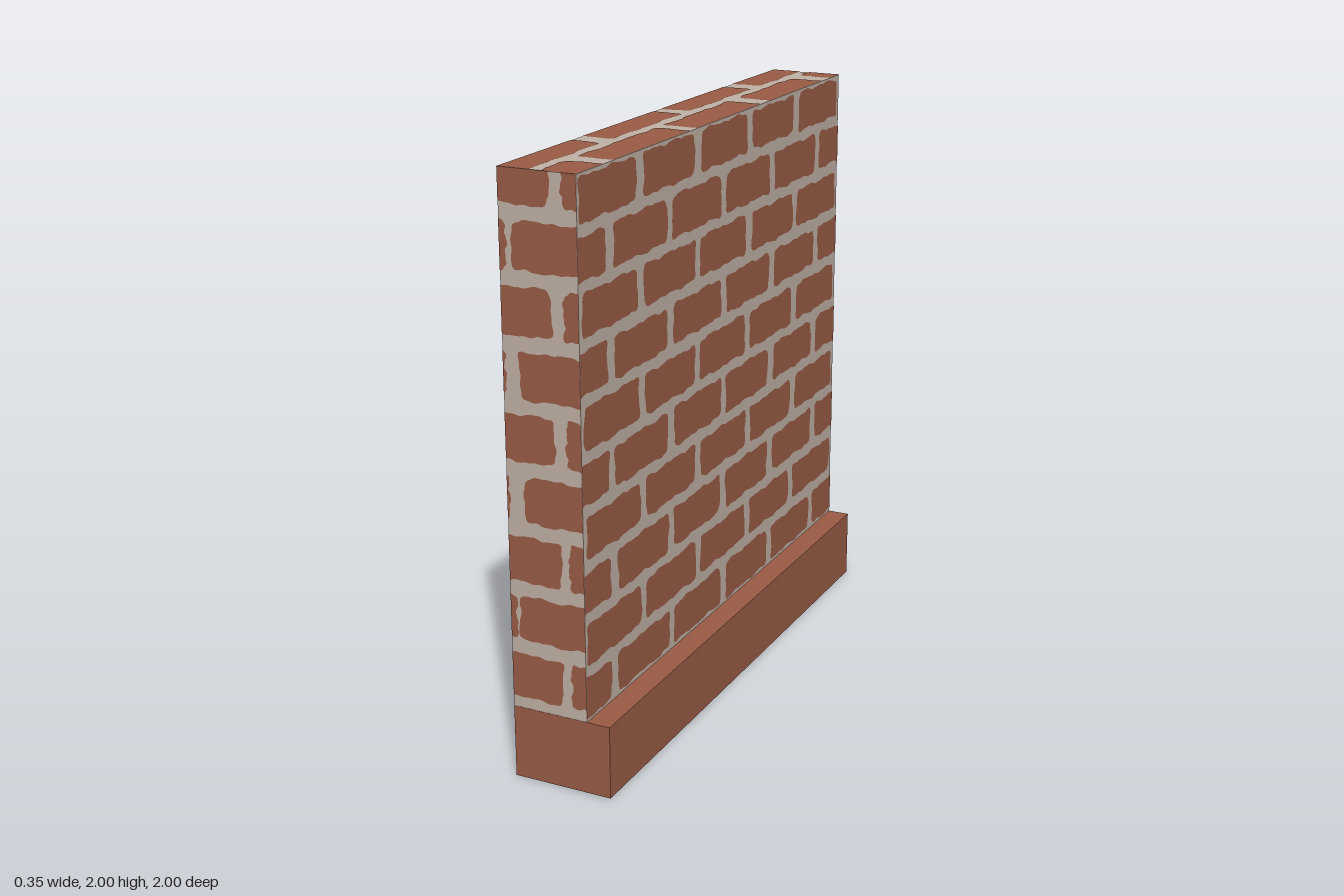
import * as THREE from 'three';
import { mergeGeometries } from 'three/addons/utils/BufferGeometryUtils.js';

const X0 = -0.173, X1 = 0.092, BASE_X = 0.173; // wall back, wall face, plinth face
const BASE_H = 0.25, TOP = 2, HALF = 0.999, LIFT = 0.0012;

// Small seeded random numbers, 0..1
function seeded(seed) {
  return () => {
    seed = (seed * 16807) % 2147483647;
    return seed / 2147483647;
  };
}

// One worn brick: a rounded rectangle with a wavy outline, clipped to its face
function brickShape([u0, u1, v0, v1], [a0, a1, b0, b1], rand) {
  const r = 0.02;
  const phases = [rand() * 6.28, rand() * 6.28, rand() * 6.28];
  const outline = new THREE.Path();
  outline.moveTo(u0 + r, v0);
  outline.lineTo(u1 - r, v0);
  outline.quadraticCurveTo(u1, v0, u1, v0 + r);
  outline.lineTo(u1, v1 - r);
  outline.quadraticCurveTo(u1, v1, u1 - r, v1);
  outline.lineTo(u0 + r, v1);
  outline.quadraticCurveTo(u0, v1, u0, v1 - r);
  outline.lineTo(u0, v0 + r);
  outline.quadraticCurveTo(u0, v0, u0 + r, v0);
  const cu = (u0 + u1) / 2, cv = (v0 + v1) / 2;
  const hu = (u1 - u0) / 2, hv = (v1 - v0) / 2;
  const n = 72;
  const pts = outline.getSpacedPoints(n).slice(0, n).map((p, i) => {
    const t = (i / n) * Math.PI * 2;
    const w = 0.003 * (Math.sin(5 * t + phases[0]) + Math.sin(9 * t + phases[1]) * 0.8
      + Math.sin(17 * t + phases[2]) * 0.5);
    const u = cu + (p.x - cu) * (1 + w / hu), v = cv + (p.y - cv) * (1 + w / hv);
    return new THREE.Vector2(THREE.MathUtils.clamp(u, a0, a1), THREE.MathUtils.clamp(v, b0, b1));
  });
  return new THREE.Shape(pts.filter((p, i) => p.distanceTo(pts[(i + 1) % n]) > 1e-5));
}

// All bricks of one wall face, as a flat layer
function brickLayer(name, bricks, rect, seed, material) {
  const rand = seeded(seed);
  const geos = bricks.map((b) => new THREE.ShapeGeometry(brickShape(b, rect, rand)));
  const mesh = new THREE.Mesh(mergeGeometries(geos), material);
  mesh.name = name;
  return mesh;
}

// Running bond of the broad face
function faceBricks() {
  const rand = seeded(77);
  const bricks = [];
  for (let row = 0; row < 10; row++) {
    const v0 = 0.263 + row * 0.1765;
    const odd = row % 2; // odd rows hold five whole bricks
    for (let i = 0; i < (odd ? 5 : 6); i++) {
      const j = () => (rand() - 0.5) * 0.012;
      const u0 = (odd ? -0.985 : -1.187) + i * 0.401;
      bricks.push([u0 + j(), u0 + 0.358 + j(), v0 + j() * 0.5, v0 + 0.137 + j() * 0.5]);
    }
  }
  return bricks;
}

// Narrow ends: wide brick alternately left and right
function endBricks() {
  const bricks = [];
  const splits = [0.01, -0.14, 0.015, -0.11, 0, -0.115, 0, -0.13, 0];
  splits.forEach((s, row) => {
    const v0 = 0.288 + row * 0.2005, v1 = row === 8 ? 2.05 : v0 + 0.152;
    if (row % 2) {
      bricks.push([-0.25, s < -0.12 ? -0.15 : -0.164, v0, v1], [s, 0.15, v0, v1]);
    } else {
      bricks.push([-0.25, s, v0, v1], [0.042, 0.15, v0, v1]);
    }
  });
  return bricks;
}

// Top: two courses side by side, listed by their z limits
function topBricks() {
  const back = [[-1.05, -0.63], [-0.555, -0.06], [0, 0.485], [0.56, 1.05]];
  const front = [[-1.05, -0.91], [-0.83, -0.365], [-0.29, 0.205], [0.26, 0.775], [0.84, 1.05]];
  return [
    ...back.map(([a, b]) => [-0.25, -0.066, -b, -a]),
    ...front.map(([a, b]) => [-0.03, 0.15, -b, -a]),
  ];
}

export function createModel() {
  const group = new THREE.Group();
  group.name = 'brickWall';
  const brick = new THREE.MeshStandardMaterial({ color: 0x9b5c45 });
  brick.name = 'brick red';
  const mortar = new THREE.MeshStandardMaterial({ color: 0xc1b2a6 });
  mortar.name = 'mortar grey';

  // Wall core, with a plain brick-coloured back
  const core = new THREE.Mesh(
    new THREE.BoxGeometry(X1 - X0, TOP - BASE_H - LIFT, HALF * 2),
    [mortar, brick, mortar, mortar, mortar, mortar],
  );
  core.name = 'wallCore';
  core.position.set((X0 + X1) / 2, (TOP - LIFT + BASE_H) / 2, 0);
  group.add(core);

  // Plinth
  const plinth = new THREE.Mesh(new THREE.BoxGeometry(BASE_X - X0, BASE_H, 2), brick);
  plinth.name = 'plinth';
  plinth.position.set((X0 + BASE_X) / 2, BASE_H / 2, 0);
  group.add(plinth);

  // Brick layers
  const face = brickLayer('faceBricks', faceBricks(), [-HALF, HALF, BASE_H, TOP], 11, brick);
  face.rotation.y = Math.PI / 2;
  face.position.x = X1 + LIFT;

  const endRect = [X0, X1, BASE_H, TOP];
  const frontEnd = brickLayer('frontEndBricks', endBricks(), endRect, 23, brick);
  frontEnd.position.z = HALF + LIFT;
  const backEnd = brickLayer('backEndBricks', endBricks(), endRect, 23, brick);
  backEnd.rotation.y = Math.PI;
  backEnd.position.set(X0 + X1, 0, -HALF - LIFT);

  const top = brickLayer('topBricks', topBricks(), [X0, X1, -HALF, HALF], 37, brick);
  top.rotation.x = -Math.PI / 2;
  top.position.y = TOP;

  group.add(face, frontEnd, backEnd, top);
  return group;
}
